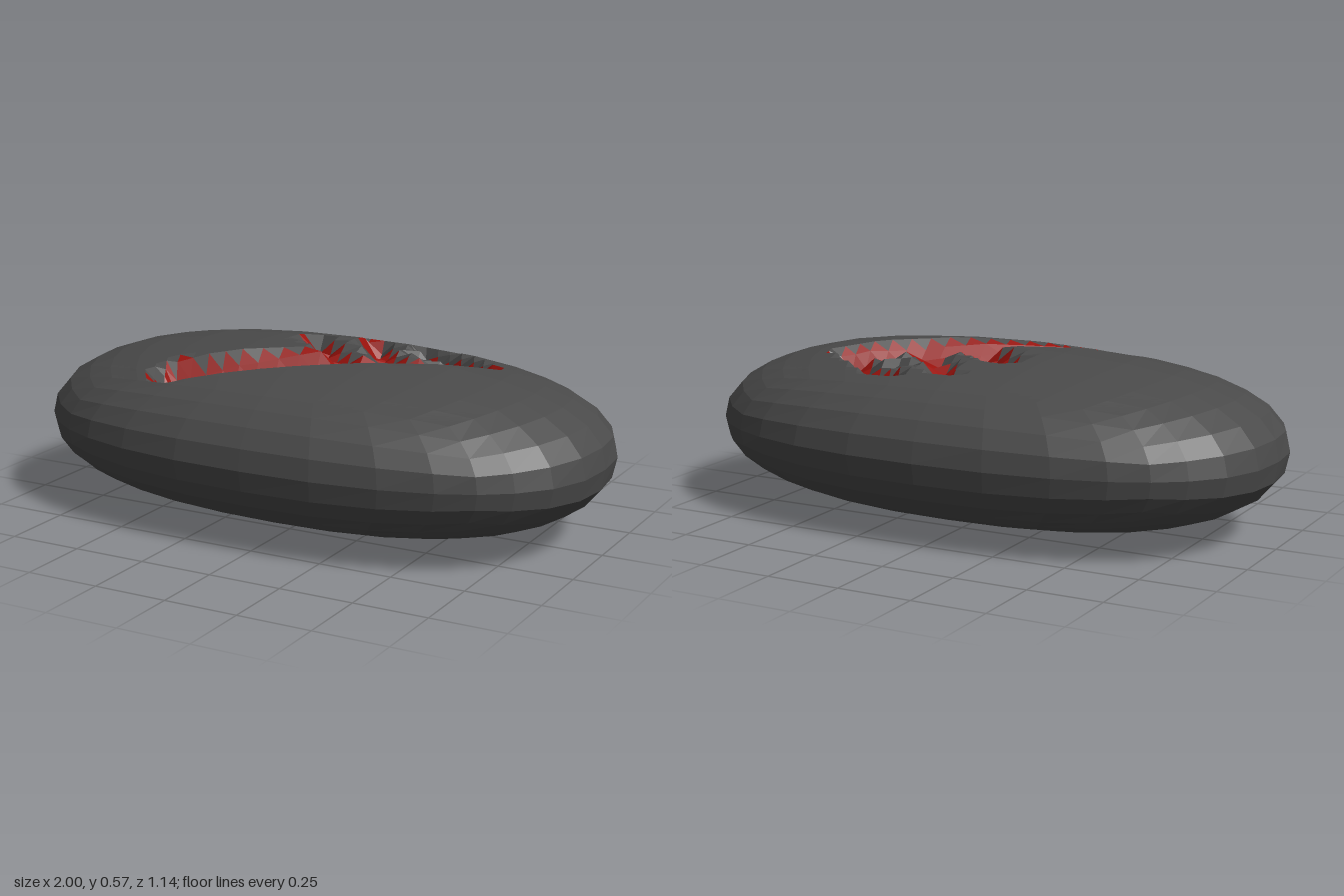
import * as THREE from 'three';

const RX = 1, RY = 0.285, RZ = 0.572;
const COARSE = 8, FINE = 32;

// Push a point of the unit cube out to the rounded pebble surface
function pebble(x, y, z) {
  const a = 2.15, b = 2.45;
  const ring = (Math.abs(y) ** a + Math.abs(z) ** a) ** (b / a);
  const s = (ring + Math.abs(x) ** b) ** (-1 / b);
  return new THREE.Vector3(x * s * RX, RY + y * s * RY, z * s * RZ);
}

// Point on the broad top facets, so the fine patch meets the coarse sides
function topPoint(u, v) {
  const step = 2 / COARSE;
  const low = (c) => Math.min(Math.floor((c + 1) / step + 1e-6), COARSE - 1) * step - 1;
  const u0 = low(u), v0 = low(v), fu = (u - u0) / step, fv = (v - v0) / step;
  const near = pebble(u0, 1, v0).lerp(pebble(u0 + step, 1, v0), fu);
  const far = pebble(u0, 1, v0 + step).lerp(pebble(u0 + step, 1, v0 + step), fu);
  return near.lerp(far, fv);
}

// V-shaped groove strength (0 to 1) along a segment, with a width for each side
function groove(x, z, [ax, az, bx, bz, wBack, wFront]) {
  const dx = bx - ax, dz = bz - az, len = Math.hypot(dx, dz);
  const t = ((x - ax) * dx + (z - az) * dz) / (len * len);
  const c = THREE.MathUtils.clamp(t, 0, 1);
  const side = (x - ax) * -dz + (z - az) * dx;
  const d = Math.hypot(x - ax - c * dx, z - az - c * dz);
  const taper = t > 0.75 ? 1 - 0.5 * (c - 0.75) / 0.25 : 1;
  return Math.max(0, 1 - d / ((side < 0 ? wBack : wFront) * taper));
}

const slash = [-0.4, 0.29, 0.51, -0.15, 0.06, 0.105];
const claws = [
  [0.08, 0.02, -0.13, -0.16, 0.07, 0.07],
  [0.18, -0.09, 0.03, -0.3, 0.07, 0.07],
  [0.44, -0.17, 0.21, -0.33, 0.07, 0.07],
];
const slashAt = (x, z) => groove(x, z, slash);
const clawAt = (x, z) => Math.max(...claws.map((c) => groove(x, z, c)));

// Rough sunken floor between the claws
function floorAt(x, z) {
  const r = Math.hypot((x - 0.22) / 0.25, (z + 0.14) / 0.15);
  return r < 1 ? Math.min(1, 2 * (1 - r)) * (0.65 + 0.35 * Math.sin(x * 71 + z * 37)) : 0;
}

function depthAt(x, z) {
  const v = (g) => Math.min(1, g * 1.4);
  return Math.max(0.095 * v(slashAt(x, z)), 0.08 * v(clawAt(x, z)), 0.06 * floorAt(x, z));
}

function facetedMesh(name, points, color) {
  const geometry = new THREE.BufferGeometry().setFromPoints(points);
  geometry.computeVertexNormals();
  const material = new THREE.MeshStandardMaterial({ color, flatShading: true });
  const mesh = new THREE.Mesh(geometry, material);
  mesh.name = name;
  return mesh;
}

export function createModel() {
  const sides = [], top = [], cuts = [];

  // Sides and underside: a cube rounded into a pebble, without its top face
  const box = new THREE.BoxGeometry(2, 2, 2, COARSE, COARSE, COARSE).toNonIndexed();
  const p = box.attributes.position, n = box.attributes.normal;
  for (let i = 0; i < p.count; i++) {
    if (n.getY(i) < 0.5) sides.push(pebble(p.getX(i), p.getY(i), p.getZ(i)));
  }

  // Top: a finer grid, lowered along the carving
  const vertex = (i, j) => {
    const q = topPoint(i * 2 / FINE - 1, j * 2 / FINE - 1);
    q.y -= depthAt(q.x, q.z);
    return q;
  };
  for (let i = 0; i < FINE; i++) {
    for (let j = 0; j < FINE; j++) {
      const a = vertex(i, j), b = vertex(i, j + 1), c = vertex(i + 1, j + 1), d = vertex(i + 1, j);
      const x = (a.x + c.x) / 2, z = (a.z + c.z) / 2;
      const claw = clawAt(x, z);
      const red = slashAt(x, z) > 0.04 || (claw > 0.35 && claw > floorAt(x, z) * 0.9);
      (red ? cuts : top).push(a, b, d, b, c, d);
    }
  }

  const group = new THREE.Group();
  group.name = 'carvedStone';
  group.add(
    facetedMesh('stoneSides', sides, 0x4a4a4a),
    facetedMesh('stoneTop', top, 0x4a4a4a),
    facetedMesh('redCarving', cuts, 0x99120c),
  );
  return group;
}
